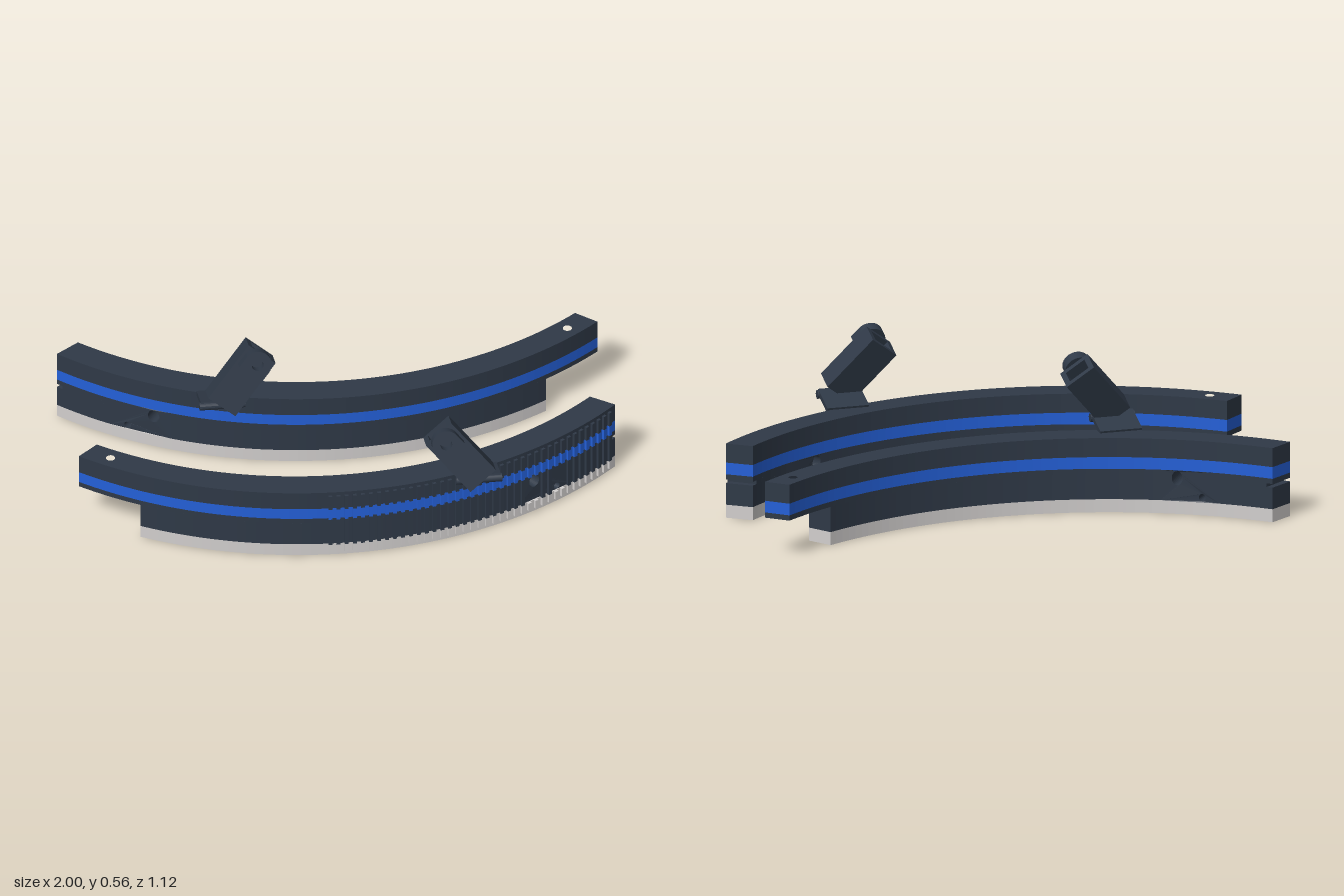
import * as THREE from 'three';
import { mergeGeometries } from 'three/addons/utils/BufferGeometryUtils.js';

const mat = (name, color) => Object.assign(new THREE.MeshStandardMaterial({ color }), { name });

// circular arc through three (x, z) points, as a function of t in 0..1
function arcThrough([ax, az], [bx, bz], [cx, cz]) {
  const d = 2 * (ax * (bz - cz) + bx * (cz - az) + cx * (az - bz));
  const a2 = ax * ax + az * az, b2 = bx * bx + bz * bz, c2 = cx * cx + cz * cz;
  const ox = (a2 * (bz - cz) + b2 * (cz - az) + c2 * (az - bz)) / d;
  const oz = (a2 * (cx - bx) + b2 * (ax - cx) + c2 * (bx - ax)) / d;
  const r = Math.hypot(ax - ox, az - oz);
  const s = Math.asin((ax - ox) / r), e = Math.asin((cx - ox) / r);
  const at = t => {
    const k = s + (e - s) * t;
    return new THREE.Vector2(ox + r * Math.sin(k), oz + r * Math.cos(k));
  };
  return { at, tAt: x => (Math.asin((x - ox) / r) - s) / (e - s), angle: t => s + (e - s) * t };
}
const outer = arcThrough([-1, 0.13], [0, 0.47], [1, 0.07]);
const inner = arcThrough([-0.925, 0.067], [0, 0.365], [0.914, 0.01]);
const ARC_LENGTH = 2.17;
const point = (t, w) => inner.at(t).lerp(outer.at(t), w);

// closed outline in plan between two t values and two depths
function outline(t0, t1, w0 = 0, w1 = 1) {
  const n = Math.max(2, Math.ceil((t1 - t0) * 64)), pts = [];
  for (let i = 0; i <= n; i++) pts.push(point(t0 + (t1 - t0) * i / n, w1));
  for (let i = n; i >= 0; i--) pts.push(point(t0 + (t1 - t0) * i / n, w0));
  return pts;
}

// horizontal layer of the curved wall
function layer(t0, t1, y0, y1, hole) {
  const shape = new THREE.Shape(outline(t0, t1));
  if (hole) shape.holes.push(hole);
  const g = new THREE.ExtrudeGeometry(shape, { depth: y1 - y0, bevelEnabled: false });
  return g.rotateX(Math.PI / 2).translate(0, y1, 0);
}

// piece of wall with round holes through its thickness, bent onto the arc
function drilledBlock(t0, t1, y0, y1, holes) {
  const shape = new THREE.Shape([[t0, y0], [t1, y0], [t1, y1], [t0, y1]].map(p => new THREE.Vector2(...p)));
  for (const [x, y, rx, ry] of holes) {
    shape.holes.push(new THREE.Path().absellipse(outer.tAt(x), y, rx / ARC_LENGTH, ry, 0, Math.PI * 2, true));
  }
  const g = new THREE.ExtrudeGeometry(shape, { depth: 1, bevelEnabled: false, curveSegments: 16 });
  const p = g.attributes.position;
  for (let i = 0; i < p.count; i++) {
    const q = point(p.getX(i), p.getZ(i));
    p.setXYZ(i, q.x, p.getY(i), q.y);
  }
  g.computeVertexNormals();
  return g;
}

// mirrored copy in x, with the corner order turned round
function mirrored(geo) {
  const g = (geo.index ? geo.toNonIndexed() : geo.clone()).scale(-1, 1, 1);
  const p = g.attributes.position, a = new THREE.Vector3(), b = new THREE.Vector3();
  for (let i = 0; i < p.count; i += 3) {
    a.fromBufferAttribute(p, i + 1);
    b.fromBufferAttribute(p, i + 2);
    p.setXYZ(i + 1, b.x, b.y, b.z);
    p.setXYZ(i + 2, a.x, a.y, a.z);
  }
  g.computeVertexNormals();
  return g;
}

const rect = (C, w, h) => new C([[-w, -h], [w, -h], [w, h], [-w, h]].map(([x, y]) => new THREE.Vector2(x / 2, y / 2)));

// tilted swivel arm with open top end, rounded lug and foot plate
function bracketParts() {
  const W = 0.125, L = 0.25, D = 0.09, pocket = 0.08;
  const place = new THREE.Matrix4().makeTranslation(0.37, 0.42, 0.472)
    .multiply(new THREE.Matrix4().makeRotationX(-0.31))
    .multiply(new THREE.Matrix4().makeRotationZ(0.68));

  const body = new THREE.BoxGeometry(W, L - pocket, D).translate(0, -pocket / 2, 0);
  const rim = rect(THREE.Shape, W, D);
  rim.holes.push(rect(THREE.Path, 0.085, 0.055));
  const sleeve = new THREE.ExtrudeGeometry(rim, { depth: pocket, bevelEnabled: false })
    .rotateX(-Math.PI / 2).translate(0, L / 2 - pocket, 0);

  const lugShape = new THREE.Shape();
  lugShape.moveTo(-0.052, -0.045);
  lugShape.lineTo(0.052, -0.045);
  lugShape.absarc(0, 0, 0.052, 0, Math.PI, false);
  lugShape.holes.push(new THREE.Path().absarc(0, 0, 0.022, 0, Math.PI * 2, true));
  const lug = new THREE.ExtrudeGeometry(lugShape, { depth: 0.04, bevelEnabled: false, curveSegments: 20 })
    .translate(0, 0.09, D / 2);

  const foot = new THREE.BoxGeometry(0.16, 0.02, 0.13).rotateX(-0.31).translate(0.44, 0.303, 0.435);
  const hinge = new THREE.CylinderGeometry(0.016, 0.016, 0.17, 14).rotateZ(Math.PI / 2).translate(0.44, 0.312, 0.49);
  return [
    ['armBody', body.applyMatrix4(place)], ['armSleeve', sleeve.applyMatrix4(place)],
    ['armLug', lug.applyMatrix4(place)], ['footPlate', foot], ['footHinge', hinge],
  ];
}

export function createModel() {
  const dark = mat('darkSlate', 0x2f3947);
  const blue = mat('blueStripe', 0x2460d8);
  const grey = mat('lightGrey', 0xd2cfce);

  const tTab = outer.tAt(-0.79), tH0 = outer.tAt(0.61), tH1 = outer.tAt(0.82), tScrew = outer.tAt(0.76);
  const pin = point(outer.tAt(-0.92), 0.5);
  const pinHole = new THREE.Path().absarc(pin.x, pin.y, 0.017, 0, Math.PI * 2, true);
  const nutPocket = new THREE.Path(outline(tScrew - 0.035, tScrew + 0.035, 0.25, 0.7).reverse());

  // wall: shortened below the lap joint, with a thin slot in the full end
  const parts = [
    ['wallBase', layer(tTab, 1, 0, 0.05, nutPocket), grey],
    ['lowerWall', layer(tTab, tH0, 0.05, 0.147), dark],
    ['lowerWallEnd', layer(tH1, 1, 0.05, 0.133), dark],
    ['slotLayer', layer(tH1, 0.988, 0.133, 0.147), dark],
    ['lapTab', layer(0, tH0, 0.147, 0.167, pinHole), dark],
    ['lapTabEnd', layer(tH1, 1, 0.147, 0.167), dark],
    ['drilledWall', drilledBlock(tH0, tH1, 0.05, 0.167, [[0.67, 0.137, 0.022, 0.027], [0.76, 0.068, 0.014, 0.014]]), dark],
    ['stripe', layer(0, 1, 0.167, 0.212, pinHole), blue],
    ['upperWall', layer(0, 1, 0.212, 0.285, pinHole), dark],
    ...bracketParts().map(([name, geo]) => [name, geo, dark]),
  ];

  const model = new THREE.Group();
  model.name = 'curvedRails';
  const front = new THREE.Group(), back = new THREE.Group();
  front.name = 'frontRail';
  back.name = 'backRail';
  back.position.z = -0.57;
  model.add(front, back);
  const add = (group, name, geo, material) => {
    const mesh = new THREE.Mesh(geo, material);
    mesh.name = name;
    group.add(mesh);
  };
  for (const [name, geo, material] of parts) {
    add(front, name, geo, material);
    add(back, name, mirrored(geo), material);
  }

  // grip ribs on the outer face of the front rail
  const bands = [['ribBase', 0.015, 0.05, grey], ['ribLower', 0.05, 0.167, dark], ['ribStripe', 0.167, 0.212, blue], ['ribUpper', 0.212, 0.272, dark]];
  for (const [name, y0, y1, material] of bands) {
    const ribs = [];
    for (let t = outer.tAt(-0.11); t < 0.995; t += 0.03 / ARC_LENGTH) {
      const p = outer.at(t);
      if (name === 'ribLower' && (Math.abs(p.x - 0.67) < 0.028 || Math.abs(p.x - 0.76) < 0.02)) continue;
      ribs.push(new THREE.BoxGeometry(0.014, y1 - y0, 0.02).rotateY(outer.angle(t)).translate(p.x, (y0 + y1) / 2, p.y));
    }
    add(front, name, mergeGeometries(ribs), material);
  }
  return model;
}
